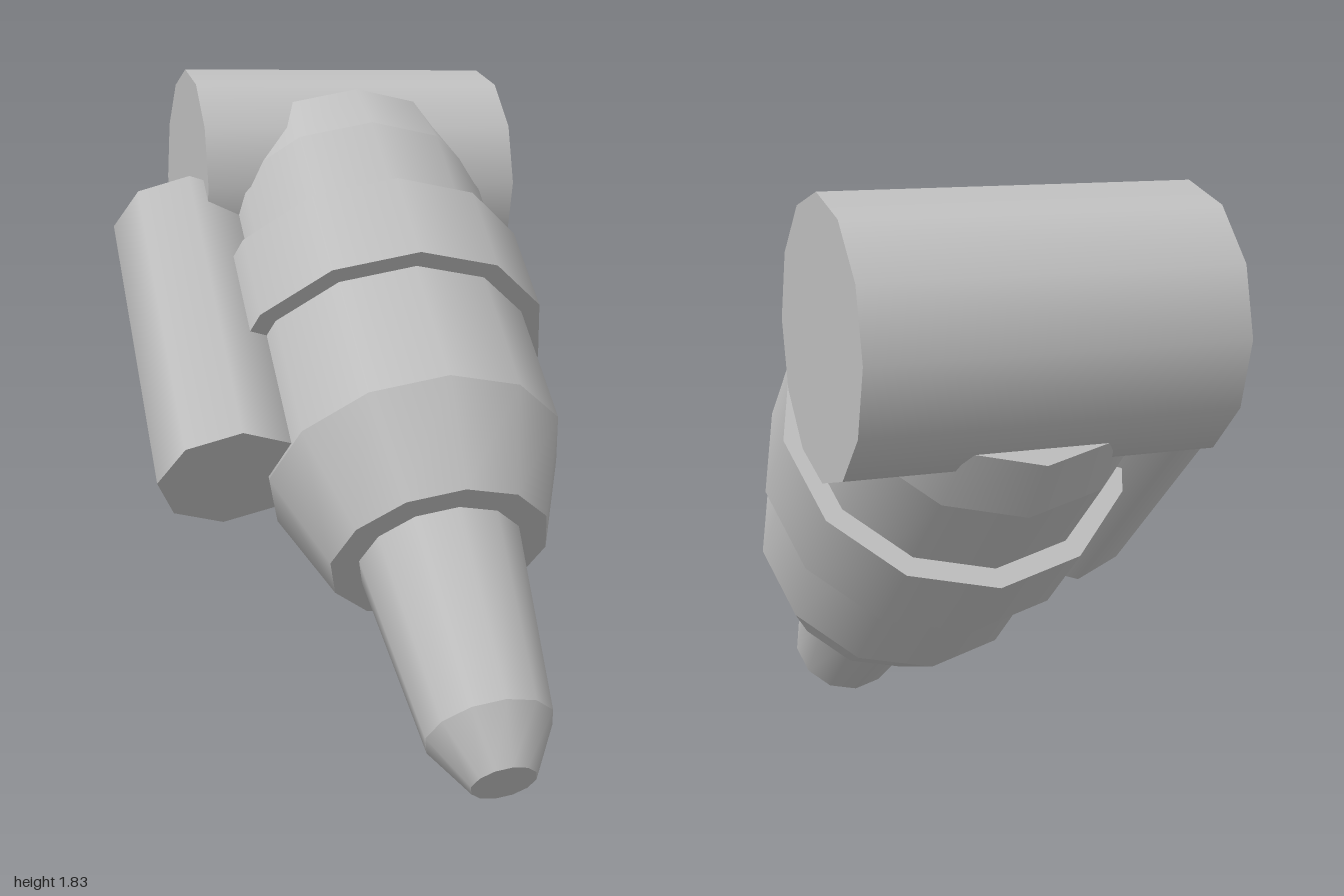
import * as THREE from 'three';

export function createModel() {
  const model = new THREE.Group();
  model.name = 'tool';
  const grey = new THREE.MeshStandardMaterial({ color: 0xc0c0c0 });
  grey.name = 'grey';

  // Tilted assembly: local +y runs up and back along the body axis
  const body = new THREE.Group();
  body.name = 'body';
  body.position.set(0.1275, 0.97, -0.0725);
  body.rotation.x = -0.84;
  model.add(body);

  // Adds a frustum between two heights on the parent's y axis
  function section(name, yTop, rTop, yBottom, rBottom, sides = 12) {
    const geometry = new THREE.CylinderGeometry(rTop, rBottom, yTop - yBottom, sides);
    const mesh = new THREE.Mesh(geometry, grey);
    mesh.name = name;
    mesh.position.y = (yTop + yBottom) / 2;
    body.add(mesh);
    return mesh;
  }

  // Main housing with a tapered shoulder and front cone
  section('rearShoulder', 0.77, 0.386, 0.579, 0.427);
  section('mainHousing', 0.579, 0.427, -0.39, 0.427);
  section('frontCone', -0.39, 0.427, -0.677, 0.31);

  // Raised collar around the housing
  section('collar', 0.287, 0.4835, 0, 0.4835);

  // Nozzle and its bevelled tip
  section('nozzle', -0.677, 0.23, -1.213, 0.172);
  section('nozzleTip', -1.213, 0.172, -1.356, 0.087);

  // Side canister, eight-sided
  section('sideCanister', 0.583, 0.21, -0.382, 0.21, 8).position.x = -0.5275;

  // Crosswise drum at the rear
  const drum = new THREE.Mesh(new THREE.CylinderGeometry(0.348, 0.348, 0.965, 12), grey);
  drum.name = 'crossDrum';
  drum.rotation.z = Math.PI / 2;
  drum.position.set(0.1275, 1.484, -0.65);
  model.add(drum);

  return model;
}
